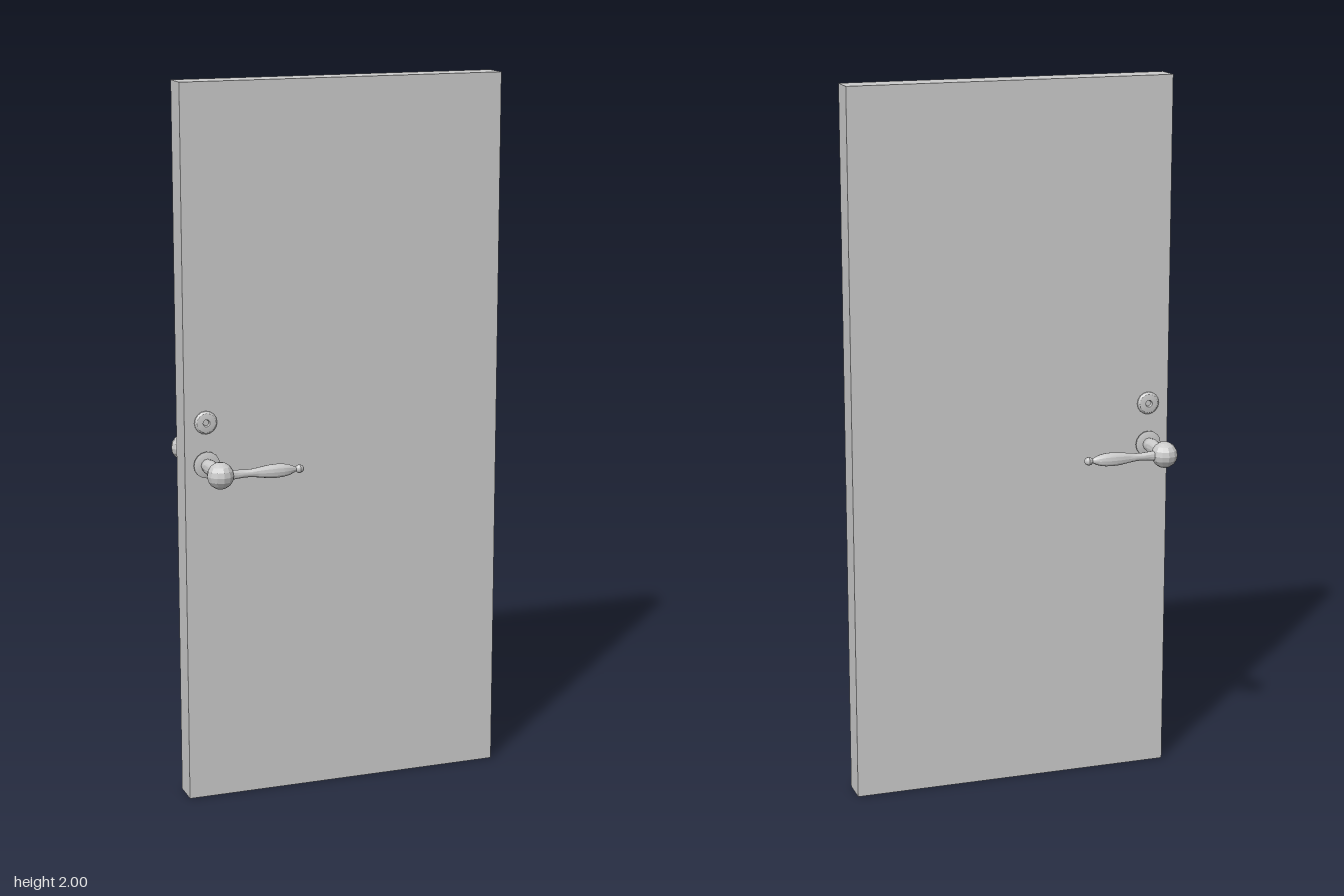
import * as THREE from 'three';
import { toCreasedNormals } from 'three/addons/utils/BufferGeometryUtils.js';

const material = new THREE.MeshStandardMaterial({ color: 0xcccccc });

function part(name, geometry, parent) {
  const mesh = new THREE.Mesh(geometry, material);
  mesh.name = name;
  parent.add(mesh);
  return mesh;
}

// Turned piece from [radius, distance] pairs, its axis along y.
function turned(profile, sides) {
  const points = profile.map(([r, d]) => new THREE.Vector2(r, d));
  return toCreasedNormals(new THREE.LatheGeometry(points, sides), 0.6);
}

// Hardware of one face: z points out of the door, y = 0 is the lever height.
function createHardware(name, keyholeY) {
  const side = new THREE.Group();
  side.name = name;

  // Stepped round plate behind the lever
  part('rosette', turned([
    [0, 0.037], [0.031, 0.037], [0.031, 0.043], [0.037, 0.045],
    [0.037, 0.049], [0.027, 0.052], [0, 0.052],
  ], 16).rotateX(Math.PI / 2), side);

  // Swelling neck from plate to ball
  part('neck', turned([
    [0, 0.048], [0.017, 0.048], [0.019, 0.058], [0.021, 0.076], [0.02, 0.09],
    [0.017, 0.115], [0.0155, 0.13], [0.015, 0.145], [0, 0.145],
  ], 12).rotateX(Math.PI / 2), side);

  // Faceted ball joint
  const ball = toCreasedNormals(new THREE.SphereGeometry(0.037, 12, 8), 0.3);
  part('ballJoint', ball, side).position.z = 0.171;

  // Lever with a waist, a swelling and a bead at its tip
  part('lever', turned([
    [0, 0.025], [0.014, 0.03], [0.013, 0.04], [0.011, 0.065], [0.011, 0.085],
    [0.014, 0.108], [0.018, 0.132], [0.0195, 0.155], [0.0185, 0.175],
    [0.015, 0.193], [0.009, 0.207], [0.006, 0.213], [0.01, 0.217],
    [0.012, 0.224], [0.0095, 0.231], [0.005, 0.235], [0, 0.236],
  ], 12).rotateZ(-Math.PI / 2), side).position.z = 0.171;

  // Domed key plate with a recessed middle
  part('keyPlate', turned([
    [0, 0.037], [0.032, 0.037], [0.032, 0.043], [0.027, 0.048],
    [0.016, 0.05], [0.01, 0.05], [0.008, 0.043], [0, 0.043],
  ], 16).rotateX(Math.PI / 2), side).position.y = keyholeY;

  return side;
}

export function createModel() {
  const door = new THREE.Group();
  door.name = 'door';

  // Plain slab
  part('doorPanel', new THREE.BoxGeometry(0.92, 2, 0.078), door).position.y = 1;

  // The same hardware on both faces; half a turn about x takes it to the back
  for (const [name, sign] of [['frontHardware', 1], ['backHardware', -1]]) {
    const hardware = createHardware(name, 0.117 * sign);
    hardware.position.set(-0.4, 0.964, 0);
    if (sign < 0) hardware.rotation.x = Math.PI;
    door.add(hardware);
  }
  return door;
}
